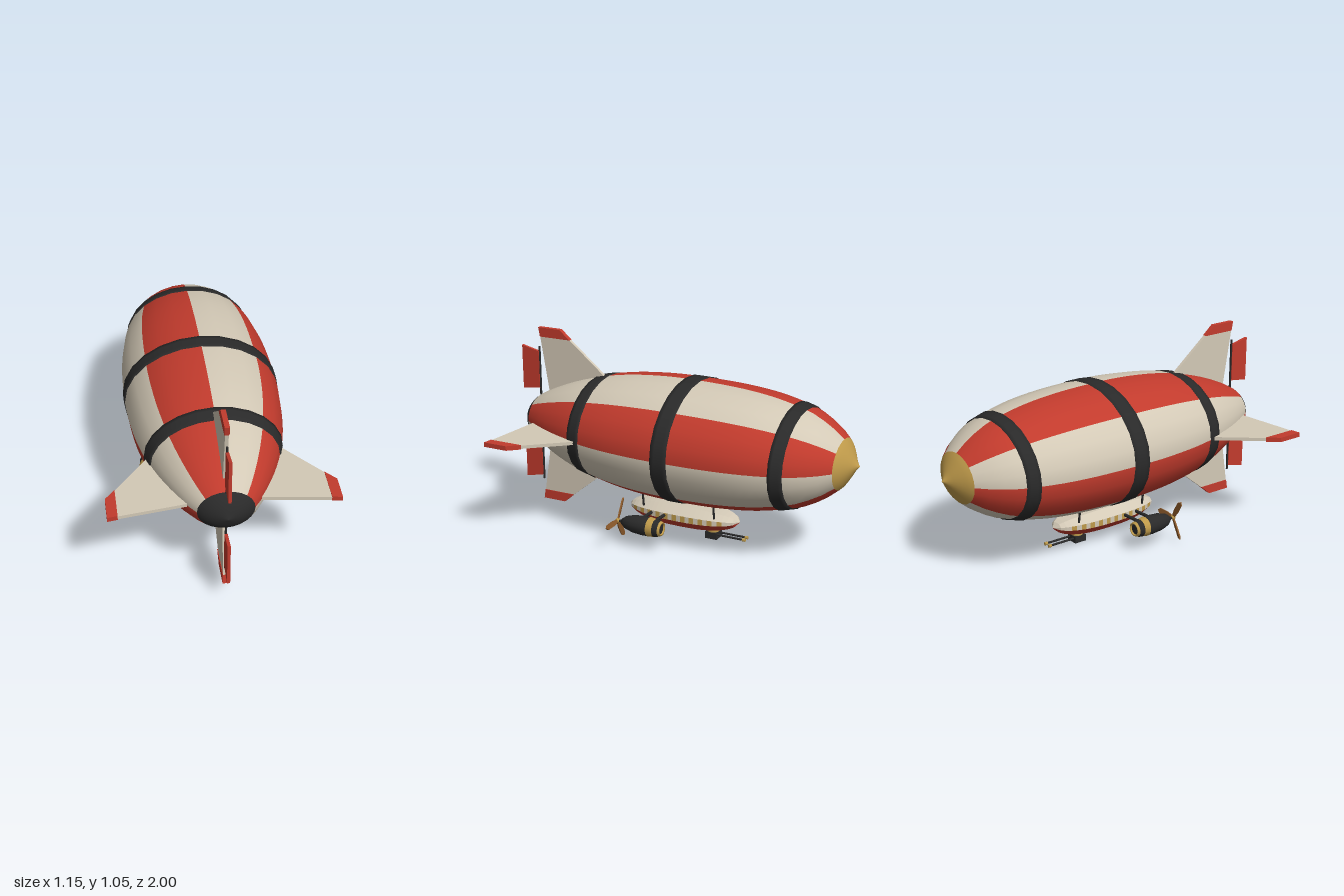
import * as THREE from 'three';

const mat = (name, color, side = THREE.FrontSide) => {
  const m = new THREE.MeshStandardMaterial({ color, side });
  m.name = name;
  return m;
};
const V = (x, y, z) => new THREE.Vector3(x, y, z);

export function createModel() {
  const red = mat('red', 0xc23b2d), cream = mat('cream', 0xd3c9b6), black = mat('black', 0x2a2a2a);
  const gold = mat('gold', 0xbf9a4a), wood = mat('wood', 0x8c5a2b);
  const model = new THREE.Group();
  model.name = 'airship';
  const add = (name, geo, material, parent = model) => {
    const m = new THREE.Mesh(geo, material);
    m.name = name;
    parent.add(m);
    return m;
  };
  // Round bar between two points
  const bar = (name, a, b, r, material, parent = model) => {
    const m = add(name, new THREE.CylinderGeometry(r, r, a.distanceTo(b), 8), material, parent);
    m.position.copy(a).add(b).multiplyScalar(0.5);
    m.quaternion.setFromUnitVectors(V(0, 1, 0), b.clone().sub(a).normalize());
    return m;
  };

  // Envelope: a spun profile along z, flattened into an ellipse
  const axisY = 0.545, flat = 0.33 / 0.411;
  const curve = new THREE.SplineCurve([
    [-1, 0], [-0.98, 0.03], [-0.95, 0.095], [-0.91, 0.165], [-0.84, 0.235], [-0.75, 0.298], [-0.67, 0.333],
    [-0.5, 0.378], [-0.3, 0.403], [-0.07, 0.411], [0.1, 0.407], [0.3, 0.384], [0.48, 0.343], [0.6, 0.302],
    [0.7, 0.257], [0.8, 0.202], [0.885, 0.143], [0.93, 0.082], [0.96, 0],
  ].map(([z, r]) => new THREE.Vector2(z, r))).getPoints(360);
  const radiusAt = (z) => {
    const i = Math.max(1, curve.findIndex((p) => p.x >= z - 1e-9));
    const a = curve[i - 1], b = curve[i];
    return Math.max(0, a.y + (b.y - a.y) * (z - a.x) / (b.x - a.x));
  };
  const skin = (name, z0, z1, n, material, lift = 0, phi = 0, sweep = Math.PI * 2) => {
    const pts = [];
    for (let i = 0; i <= n; i++) {
      const z = z0 + (z1 - z0) * i / n;
      pts.push(new THREE.Vector2(radiusAt(z) + lift, z));
    }
    if (lift) {
      pts.unshift(new THREE.Vector2(pts[0].x - 0.02, z0));
      pts.push(new THREE.Vector2(pts[pts.length - 1].x - 0.02, z1));
    }
    const g = new THREE.LatheGeometry(pts, Math.round(24 * sweep / (Math.PI * 2)), phi, sweep);
    g.rotateX(Math.PI / 2).scale(1, flat, 1).translate(0, axisY, 0);
    return add(name, g, material);
  };
  for (let i = 0; i < 8; i++) {
    skin('envelopeGore', -0.91, 0.885, 32, i % 2 ? cream : red, 0, i * Math.PI / 4, Math.PI / 4);
  }
  skin('noseCap', -1, -0.91, 8, gold);
  skin('tailCap', 0.885, 0.96, 8, black);
  for (const [a, b] of [[-0.705, -0.637], [-0.108, -0.018], [0.445, 0.522]]) skin('envelopeBand', a, b, 4, black, 0.005);

  // Tail fins: plates drawn as (distance from axis, z)
  const plate = (pts, thick) => new THREE.ExtrudeGeometry(
    new THREE.Shape(pts.map(([r, z]) => new THREE.Vector2(r, z))), { depth: thick, bevelEnabled: false })
    .translate(0, 0, -thick / 2).rotateX(Math.PI / 2);
  const tailPart = (name, pts, thick, material, turn) => {
    const m = add(name, plate(pts, thick), material);
    m.position.y = axisY;
    m.rotation.z = turn;
  };
  for (let k = 0; k < 4; k++) {
    const turn = k * Math.PI / 2, upright = k % 2 === 1;
    const tip = upright ? 0.505 : 0.575, seam = tip - 0.052, lead = upright ? 0.26 : 0.33;
    tailPart('fin', [[0.1, 0.45], [lead, 0.45], [seam, 0.685], [seam, 0.873], [0.12, 0.82]], 0.018, cream, turn);
    tailPart('finTip', [[seam, 0.685], [tip, 0.745], [tip, 0.882], [seam, 0.873]], 0.025, red, turn);
    if (upright) {
      tailPart('rudder', [[0.155, 0.888], [0.365, 0.888], [0.39, 0.995], [0.14, 0.995]], 0.016, red, turn);
    }
  }
  bar('rudderPost', V(0, 0.155, 0.886), V(0, 0.938, 0.886), 0.006, black);

  // Gondola: one faceted section scaled along z, painted by strip
  const half = [[0.058, 0.05], [0.106, 0.098], [0.106, 0.133], [0.06, 0.172]];
  const loop = [...half, ...half.map(([x, y]) => [-x, y]).reverse()];
  const N = 26, midY = 0.115;
  const stations = [...Array(N + 1).keys()].map((j) => {
    const t = (2 * j / N) - 1;
    const s = Math.pow(Math.max(0, 1 - Math.pow(Math.abs(t), 2.6)), 0.55);
    return loop.map(([x, y]) => [x * s, midY + (y - midY) * s, -0.013 + 0.332 * t]);
  });
  const faces = { hull: [], window: [], roof: [] };
  for (let j = 0; j < N; j++) {
    loop.forEach((_, k) => {
      const n = (k + 1) % loop.length, p = stations[j], q = stations[j + 1];
      const side = k === 1 || k === 5;
      const bottom = k === 0 || k === 6 || k === 7;
      const part = bottom ? 'hull' : side && j % 2 && j > 1 && j < N - 2 ? 'window' : 'roof';
      faces[part].push(...p[k], ...p[n], ...q[k], ...p[n], ...q[n], ...q[k]);
    });
  }
  const paint = { hull: red, window: gold, roof: cream };
  for (const part in faces) {
    const g = new THREE.BufferGeometry();
    g.setAttribute('position', new THREE.Float32BufferAttribute(faces[part], 3));
    g.computeVertexNormals();
    add('gondola ' + part, g, paint[part]);
  }

  // Suspension struts and engines, mirrored
  const lathe = (pts, seg) => new THREE.LatheGeometry(pts.map(([r, z]) => new THREE.Vector2(r, z)), seg).rotateX(Math.PI / 2);
  for (const s of [1, -1]) {
    for (const z of [0.2, -0.225]) bar('suspensionStrut', V(s * 0.073, 0.14, z), V(s * 0.092, 0.27, z), 0.006, black);
    for (const z of [0.14, 0.06]) bar('engineStrut', V(s * 0.08, 0.118, z), V(s * 0.29, 0.13, z), 0.009, black);

    const engine = new THREE.Group();
    engine.name = 'engine';
    engine.position.set(s * 0.3, 0.13, 0);
    model.add(engine);
    add('nacelle', lathe([[0.044, -0.02], [0.05, 0.03], [0.052, 0.08], [0.047, 0.14], [0.034, 0.185], [0.015, 0.21], [0, 0.212]], 14), black, engine);
    add('intakeCowl', lathe([[0.026, 0], [0.03, -0.03], [0.037, -0.03], [0.046, 0], [0.053, 0.045], [0.048, 0.05]], 14), gold, engine);
    const throat = add('intakeThroat', new THREE.CircleGeometry(0.03, 14).rotateY(Math.PI), black, engine);
    throat.position.z = -0.022;
    bar('propellerShaft', V(0, 0, 0.2), V(0, 0, 0.24), 0.008, black, engine);
    add('propellerHub', new THREE.SphereGeometry(0.014, 10, 8), gold, engine).position.z = 0.236;
    for (let b = 0; b < 3; b++) {
      const shape = new THREE.Shape([[0, -0.007], [0.05, -0.014], [0.11, -0.013], [0.126, 0], [0.11, 0.013], [0.05, 0.014], [0, 0.007]]
        .map(([x, y]) => new THREE.Vector2(x, y)));
      const g = new THREE.ExtrudeGeometry(shape, { depth: 0.008, bevelEnabled: false }).translate(0, 0, -0.004);
      g.rotateX(0.3).rotateZ(b * Math.PI * 2 / 3).translate(0, 0, 0.236);
      add('propellerBlade', g, wood, engine);
    }
  }

  // Turret under the gondola with two forward barrels
  add('turret', new THREE.BoxGeometry(0.07, 0.038, 0.07), black).position.set(0, 0.02, -0.188);
  add('turretRing', new THREE.CylinderGeometry(0.034, 0.034, 0.016, 14), gold).position.set(0, 0.046, -0.188);
  for (const x of [-0.018, 0.018]) {
    bar('barrel', V(x, 0.025, -0.2), V(x, 0.025, -0.375), 0.006, black);
    bar('muzzle', V(x, 0.025, -0.368), V(x, 0.025, -0.385), 0.009, gold);
  }
  return model;
}
